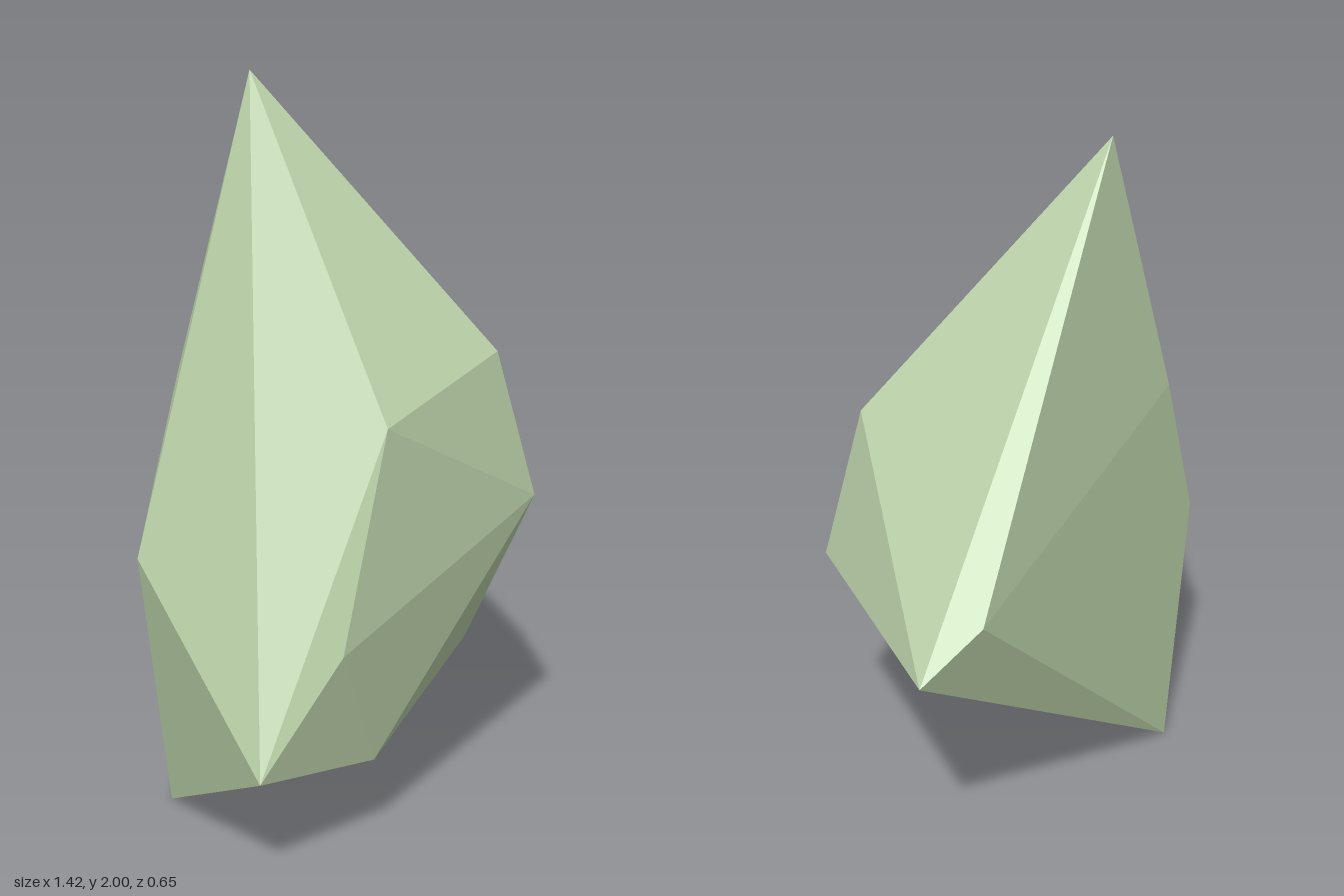
import * as THREE from 'three';
import { ConvexGeometry } from 'three/addons/geometries/ConvexGeometry.js';

export function createModel() {
  const group = new THREE.Group();
  group.name = 'rock';

  // Corners of the faceted stone shard
  const corners = [
    // peak and foot
    [-0.18, 2, -0.255], [-0.46, 0, -0.325],
    // side tips
    [0.71, 0.83, -0.23], [-0.715, 0.315, 0.25],
    // front facets
    [0.22, 1.25, 0.26], [-0.29, 1.17, 0.31], [0.31, 0.835, 0.325],
    [-0.48, 0.61, 0.325], [-0.29, 0.24, 0.265], [0.13, 0.45, 0.23],
    // flat back
    [0.56, 0.96, -0.325], [-0.405, 1.2, -0.325], [-0.565, 0.74, -0.325],
  ].map((p) => new THREE.Vector3(...p));

  // The shard is the convex hull of its corners, with flat facets
  const shard = new THREE.Mesh(
    new ConvexGeometry(corners),
    new THREE.MeshStandardMaterial({ color: 0xbdd4ab, flatShading: true }),
  );
  shard.name = 'stoneShard';
  group.add(shard);
  return group;
}
